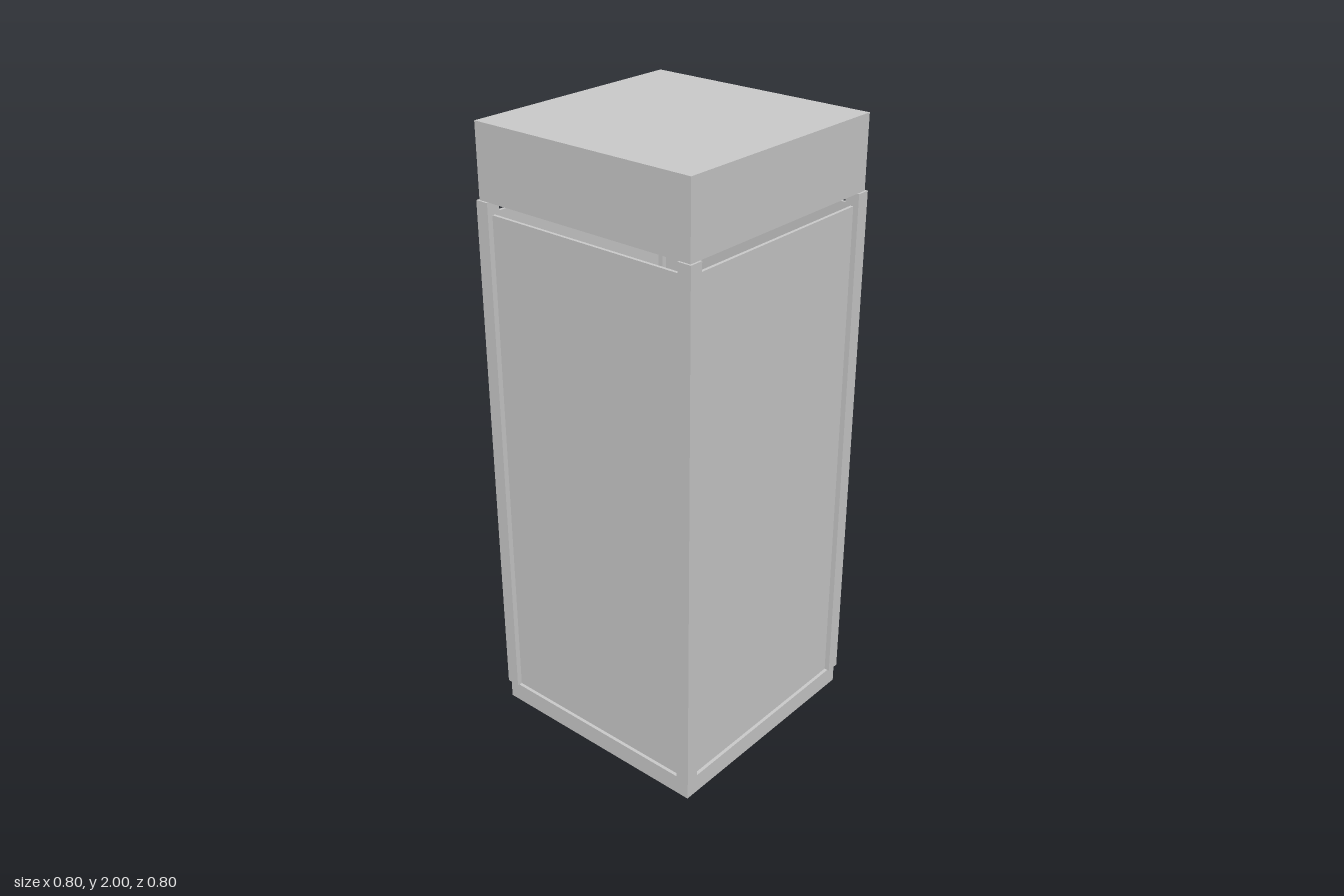
import * as THREE from 'three';

export function createModel() {
  const model = new THREE.Group();
  const material = new THREE.MeshStandardMaterial({ color: 0xcccccc, flatShading: true });

  // Adds a box that spans y0 to y1, centred on (x, z)
  function addBox(parent, name, width, depth, y0, y1, x = 0, z = 0) {
    const mesh = new THREE.Mesh(new THREE.BoxGeometry(width, y1 - y0, depth), material);
    mesh.name = name;
    mesh.position.set(x, (y0 + y1) / 2, z);
    parent.add(mesh);
  }

  const slab = 0.787;         // width of base and cap
  const half = 0.4;           // outer face of the posts
  const post = 0.045;
  const baseTop = 0.064, panelTop = 1.73, capBottom = 1.77;

  addBox(model, 'base', slab, slab, 0, baseTop);
  addBox(model, 'cap', slab, slab, capBottom, 2);

  // Square corner posts, slightly proud of base and cap
  const posts = new THREE.Group();
  posts.name = 'cornerPosts';
  const c = half - post / 2;
  for (const sx of [-1, 1]) {
    for (const sz of [-1, 1]) {
      addBox(posts, 'cornerPost', post, post, baseTop, capBottom, sx * c, sz * c);
    }
  }
  model.add(posts);

  // Thin recessed panels between the posts, stopping short of the cap
  const panels = new THREE.Group();
  panels.name = 'sidePanels';
  const span = 2 * (half - post), thickness = 0.01;
  for (let i = 0; i < 4; i++) {
    const side = new THREE.Group();
    side.name = 'side';
    side.rotation.y = (i * Math.PI) / 2;
    addBox(side, 'panel', span, thickness, baseTop, panelTop, 0, c);
    panels.add(side);
  }
  model.add(panels);

  return model;
}
